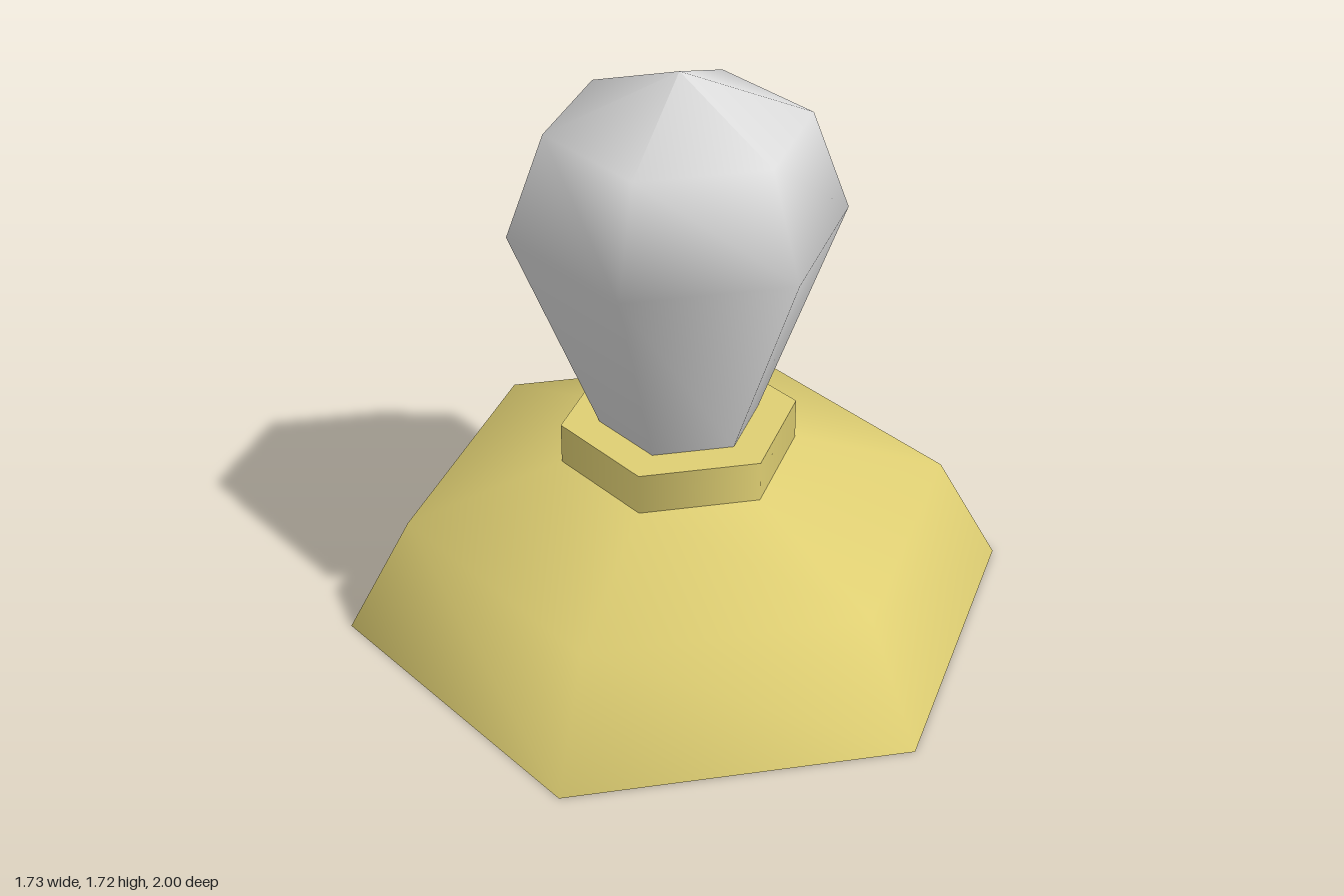
import * as THREE from 'three';

const SIDES = 6;

export function createModel() {
  const group = new THREE.Group();
  const gold = new THREE.MeshStandardMaterial({ color: 0xdfcf73 });
  gold.name = 'gold';
  const silver = new THREE.MeshStandardMaterial({ color: 0xdcdcdc });
  silver.name = 'silver';

  const add = (name, geometry, material) => {
    const mesh = new THREE.Mesh(geometry, material);
    mesh.name = name;
    group.add(mesh);
    return mesh;
  };

  // Smooth six-sided body from a [radius, height] profile, bottom to top
  const turned = (name, profile, material) =>
    add(name, new THREE.LatheGeometry(profile.map(([r, y]) => new THREE.Vector2(r, y)), SIDES), material);

  // Flat hexagon facing up (1) or down (-1), corners on the z axis
  const hexagon = (name, radius, y, facing, material) => {
    const geometry = new THREE.CircleGeometry(radius, SIDES, Math.PI / 2);
    geometry.rotateX(-facing * Math.PI / 2);
    add(name, geometry, material).position.y = y;
  };

  // Wide sloping base with shoulders
  turned('base', [[1, 0], [0.81, 0.35], [0.35, 0.51]], gold);
  hexagon('baseUnderside', 1, 0, -1, gold);

  // Collar ring
  turned('collar', [[0.35, 0.51], [0.35, 0.635]], gold);
  hexagon('collarTop', 0.35, 0.635, 1, gold);

  // Flaring bulb with a shallow peak
  turned('bulb', [[0.237, 0.635], [0.485, 1.265], [0.375, 1.567], [0, 1.72]], silver);

  return group;
}
